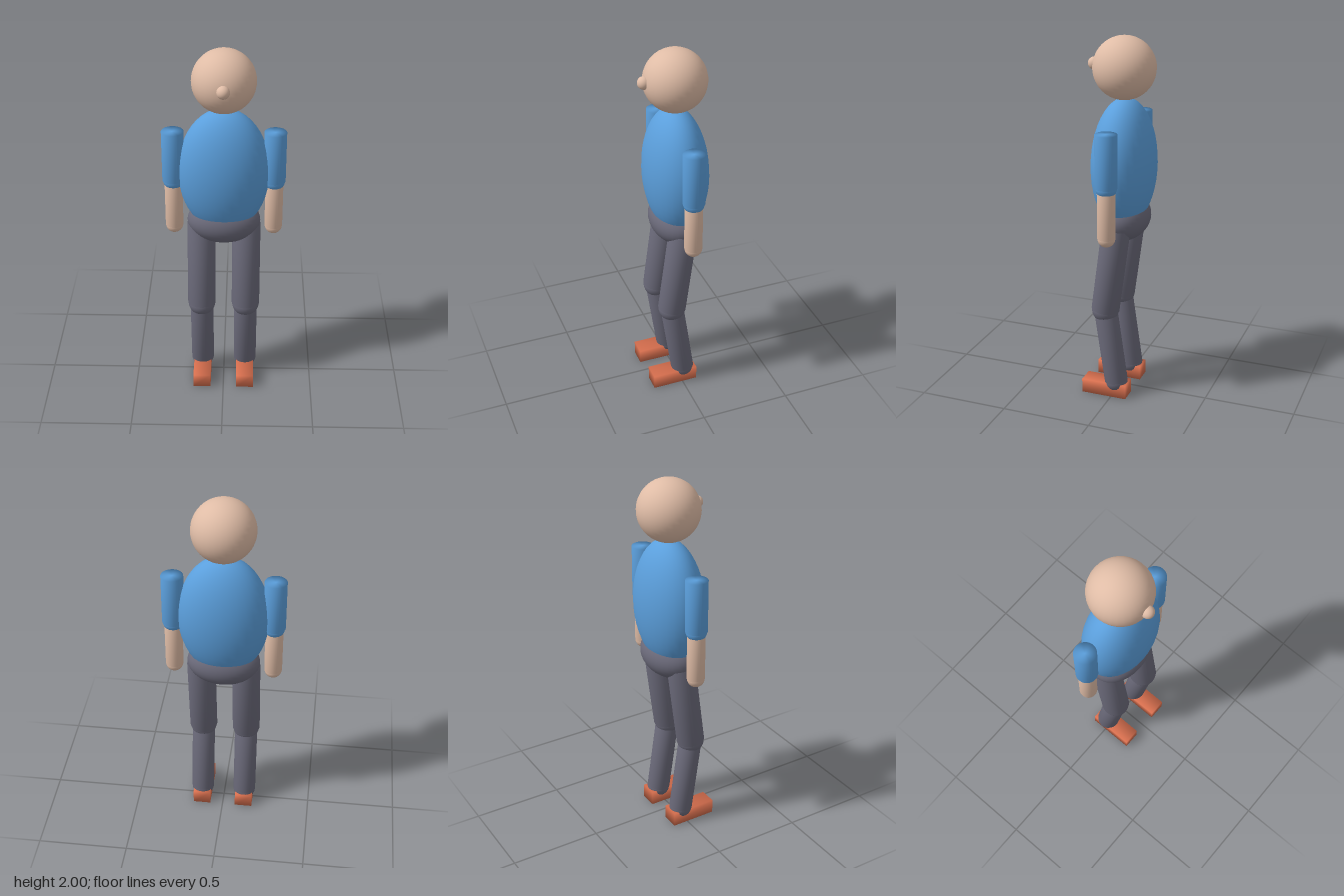
import * as THREE from 'three';
import { mergeVertices } from 'three/addons/utils/BufferGeometryUtils.js';

const paint = (name, color) => {
  const material = new THREE.MeshStandardMaterial({ color });
  material.name = name;
  return material;
};

// Share corner vertices so shading flows softly over the edges
function soften(geometry) {
  geometry.deleteAttribute('uv');
  geometry.deleteAttribute('normal');
  const merged = mergeVertices(geometry);
  merged.computeVertexNormals();
  return merged;
}

export function createModel() {
  const model = new THREE.Group();
  model.name = 'figure';
  const skin = paint('skin', 0xdfbca6);
  const shirt = paint('shirt blue', 0x5b9fdc);
  const trousers = paint('trouser grey', 0x6b6a7a);
  const leather = paint('shoe orange', 0xd9704f);
  const depth = -0.017; // z of the body's centre line

  function add(parent, name, geometry, material, position) {
    const mesh = new THREE.Mesh(geometry, material);
    mesh.name = name;
    mesh.position.set(...position);
    parent.add(mesh);
    return mesh;
  }

  // Ellipsoid from three radii
  function ball(parent, name, material, position, rx, ry = rx, rz = rx) {
    const geometry = new THREE.SphereGeometry(1, 32, 24).scale(rx, ry, rz);
    return add(parent, name, geometry, material, position);
  }

  // Capped cylinder running between two points
  function limb(parent, name, material, from, to, radius) {
    const a = new THREE.Vector3(...from);
    const b = new THREE.Vector3(...to);
    const geometry = soften(new THREE.CylinderGeometry(radius, radius, a.distanceTo(b), 32));
    const mesh = add(parent, name, geometry, material, a.clone().lerp(b, 0.5).toArray());
    mesh.quaternion.setFromUnitVectors(new THREE.Vector3(0, 1, 0), a.sub(b).normalize());
    return mesh;
  }

  // Head and trunk
  ball(model, 'head', skin, [0, 1.833, depth], 0.167);
  ball(model, 'nose', skin, [0, 1.845, 0.15], 0.034);
  ball(model, 'torso', shirt, [0, 1.315, depth], 0.243, 0.36, 0.168);
  ball(model, 'pelvis', trousers, [0, 1.02, depth], 0.197, 0.125, 0.138);

  for (const [side, s] of [['left', 1], ['right', -1]]) {
    // Arm hanging straight down
    const arm = new THREE.Group();
    arm.name = side + 'Arm';
    const ax = s * 0.268;
    limb(arm, 'sleeve', shirt, [ax, 1.547, depth], [ax, 1.263, depth], 0.059);
    ball(arm, 'elbow', shirt, [ax, 1.263, depth], 0.056);
    limb(arm, 'forearm', skin, [ax, 1.263, depth], [ax, 0.987, depth], 0.048);
    ball(arm, 'hand', skin, [ax, 0.987, depth], 0.047);

    // Leg with the knee bent slightly forward
    const leg = new THREE.Group();
    leg.name = side + 'Leg';
    const lx = s * 0.122;
    const hip = [lx, 0.995, depth];
    const knee = [lx, 0.513, 0.047];
    const ankle = [lx, 0.085, -0.015];
    limb(leg, 'thigh', trousers, hip, knee, 0.077);
    ball(leg, 'knee', trousers, knee, 0.075);
    limb(leg, 'shin', trousers, knee, ankle, 0.064);
    ball(leg, 'ankle', trousers, ankle, 0.064);
    add(leg, 'shoe', soften(new THREE.BoxGeometry(0.098, 0.08, 0.257)), leather, [lx, 0.04, 0.043]);

    model.add(arm, leg);
  }
  return model;
}
